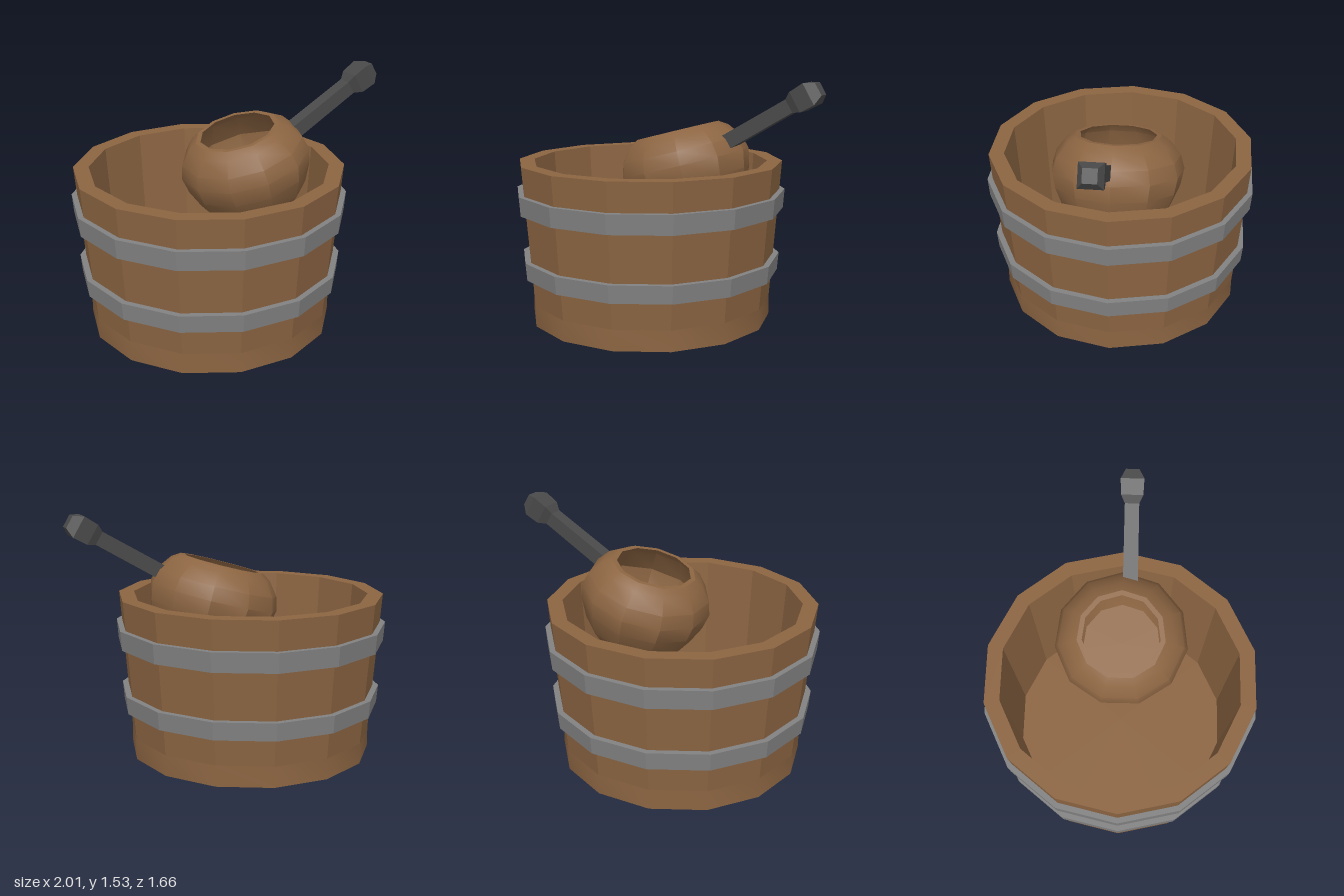
import * as THREE from 'three';
import { toCreasedNormals } from 'three/addons/utils/BufferGeometryUtils.js';

// Faceted solid turned from a profile of [radius, height] pairs.
// Edges bent by less than the crease angle are smoothed.
function turned(name, profile, sides, start, material, crease = 0.01) {
  const points = profile.map(([r, y]) => new THREE.Vector2(r, y));
  const lathe = new THREE.LatheGeometry(points, sides, start, Math.PI * 2);
  const mesh = new THREE.Mesh(toCreasedNormals(lathe, crease), material);
  mesh.name = name;
  return mesh;
}

export function createModel() {
  const wood = new THREE.MeshStandardMaterial({ color: 0x8c6542 });
  wood.name = 'wood';
  const steel = new THREE.MeshStandardMaterial({ color: 0x828282 });
  steel.name = 'steel';
  const iron = new THREE.MeshStandardMaterial({ color: 0x4a4a4a });
  iron.name = 'dark iron';

  const model = new THREE.Group();
  model.name = 'bucketWithLadle';

  // Bucket, offset so the ladle handle can reach past its rim
  const bucket = new THREE.Group();
  bucket.name = 'bucket';
  bucket.position.x = -0.148;
  model.add(bucket);
  const sides = 14;
  const start = Math.PI / 2;

  // Rounded base, then flat staves, rim, inner wall and floor
  bucket.add(turned('base', [[0, 0], [0.765, 0], [0.765, 0.13]], sides, start, wood, 0.6));
  bucket.add(turned('staves',
    [[0.765, 0.13], [0.832, 1.005], [0.737, 1.005], [0.68, 0.13], [0, 0.13]],
    sides, start, wood));

  // Hoops
  for (const [name, y0, y1, r0, r1] of [
    ['lowerHoop', 0.3, 0.41, 0.814, 0.823],
    ['upperHoop', 0.705, 0.825, 0.843, 0.852],
  ]) {
    bucket.add(turned(name,
      [[r0 - 0.05, y0], [r0, y0], [r1, y1], [r1 - 0.05, y1], [r0 - 0.05, y0]],
      sides, start, steel));
  }

  // Ladle bowl, hollow, tilted, with its mouth at the local origin
  const ladle = new THREE.Group();
  ladle.name = 'ladle';
  model.add(ladle);
  const bowl = turned('ladleBowl', [
    [0, -0.53], [0.25, -0.53], [0.34, -0.43], [0.39, -0.31], [0.41, -0.205],
    [0.385, -0.12], [0.32, -0.035], [0.265, 0],
    [0.235, 0], [0.29, -0.05], [0.36, -0.2], [0.33, -0.38], [0.25, -0.49], [0, -0.49],
  ], 11, start, wood, 0.56);
  bowl.position.set(0.045, 1.2, 0);
  bowl.rotation.z = 0.268;
  ladle.add(bowl);

  // Square handle swelling into a chamfered knob
  const handle = new THREE.Group();
  handle.name = 'ladleHandle';
  handle.position.set(0.435, 1.17, 0.047);
  handle.rotation.z = THREE.MathUtils.degToRad(30.6 - 90);
  ladle.add(handle);
  const square = (list) => list.map(([half, s]) => [half * Math.SQRT2, s]);
  handle.add(turned('handleBar',
    square([[0, -0.03], [0.045, -0.03], [0.043, 0.44]]), 4, Math.PI / 4, iron));
  handle.add(turned('handleKnob',
    square([[0.043, 0.44], [0.066, 0.49], [0.07, 0.585], [0.04, 0.64], [0, 0.64]]),
    4, Math.PI / 4, iron));

  return model;
}
